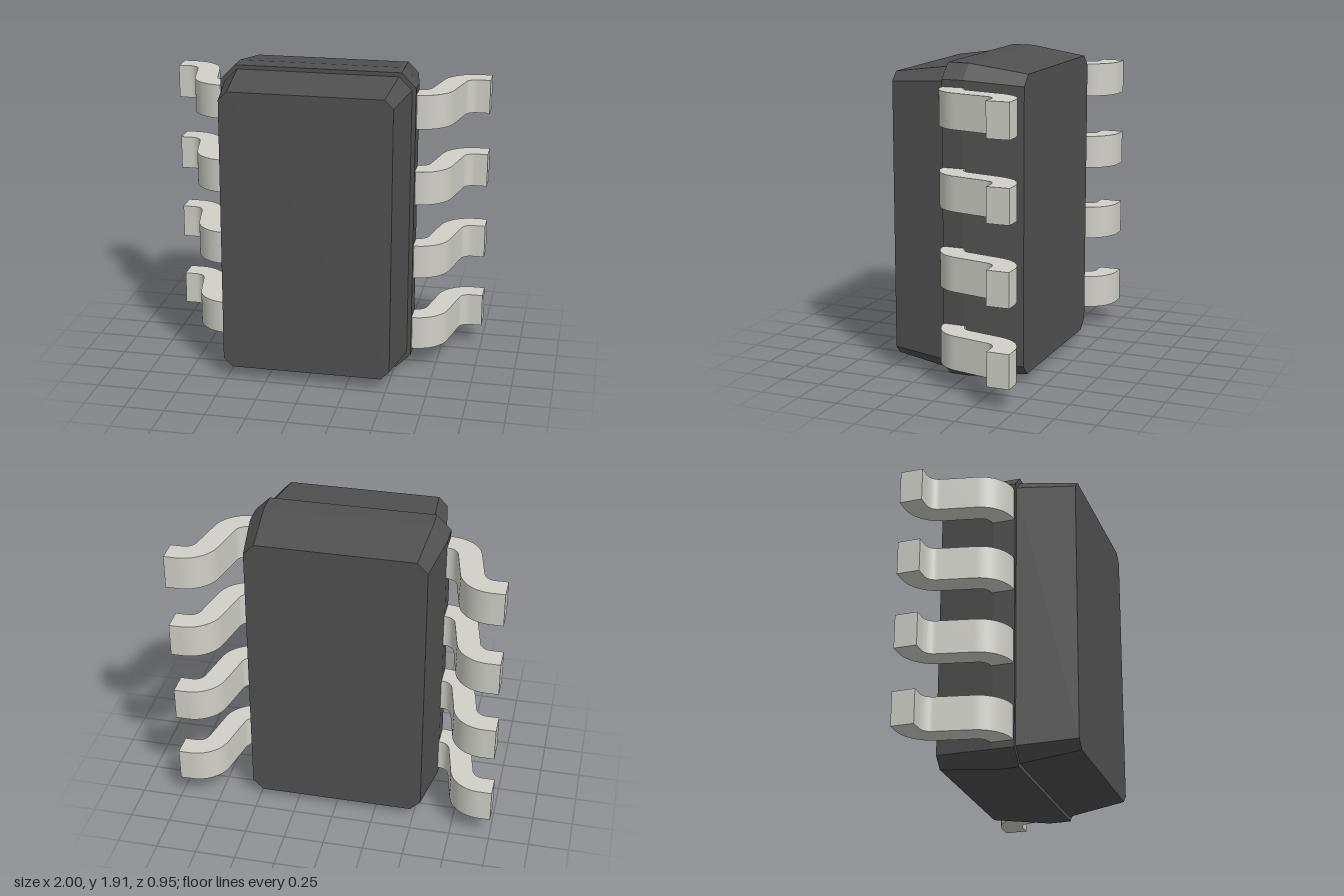
import * as THREE from 'three';
import { toCreasedNormals } from 'three/addons/utils/BufferGeometryUtils.js';

const MID_Y = 0.955;

// Chamfered rectangle, counter-clockwise seen from the front
function octagon([z, w, h, c]) {
  return [
    [w, c - h], [w, h - c], [w - c, h], [c - w, h],
    [-w, h - c], [-w, c - h], [c - w, -h], [w - c, -h],
  ].map(([x, y]) => [x, y + MID_Y, z]);
}

// Closed solid through a row of octagons, back to front
function loft(sections) {
  const positions = sections.flatMap((s) => octagon(s).flat());
  const index = [];
  const last = (sections.length - 1) * 8;
  for (let i = 0; i < last; i += 8) {
    for (let j = 0; j < 8; j++) {
      const k = (j + 1) % 8;
      index.push(i + j, i + k, i + 8 + k, i + j, i + 8 + k, i + 8 + j);
    }
  }
  for (let j = 1; j < 7; j++) {
    index.push(0, j + 1, j, last, last + j, last + j + 1);
  }
  const indexed = new THREE.BufferGeometry();
  indexed.setAttribute('position', new THREE.Float32BufferAttribute(positions, 3));
  indexed.setIndex(index);
  const geometry = indexed.toNonIndexed();
  geometry.computeVertexNormals();
  return geometry;
}

// Gull-wing lead: two opposed bends joined by a slanted straight
function leadGeometry() {
  const inner = 0.07, outer = 0.21, width = 0.21;
  const tilt = THREE.MathUtils.degToRad(11.4);
  const [ax, ay, bx, by] = [0.605, 0.1, 0.925, 0.265];
  const shape = new THREE.Shape();
  shape.moveTo(0.52, ay - outer);
  shape.absarc(ax, ay, outer, -Math.PI / 2, -tilt, false);
  shape.absarc(bx, by, inner, Math.PI - tilt, Math.PI / 2, true);
  shape.lineTo(1, by + inner);
  shape.lineTo(1, by + outer);
  shape.absarc(bx, by, outer, Math.PI / 2, Math.PI - tilt, false);
  shape.absarc(ax, ay, inner, -tilt, -Math.PI / 2, true);
  shape.lineTo(0.52, ay - inner);
  const geometry = new THREE.ExtrudeGeometry(shape, {
    depth: width, bevelEnabled: false, curveSegments: 12,
  });
  geometry.translate(0, 0, -width / 2);
  geometry.rotateX(-Math.PI / 2);
  return toCreasedNormals(geometry, 0.5);
}

export function createModel() {
  const group = new THREE.Group();
  const plastic = new THREE.MeshStandardMaterial({ color: 0x505050 });
  const metal = new THREE.MeshStandardMaterial({ color: 0xd0d0c8 });

  // Moulded body: z, half width, half height, chamfer
  const body = new THREE.Mesh(loft([
    [-0.38, 0.545, 0.905, 0.065],
    [-0.02, 0.6, 0.955, 0.09],
    [0.115, 0.6, 0.955, 0.09],
    [0.115, 0.575, 0.93, 0.08],
    [0.475, 0.52, 0.88, 0.053],
  ]), plastic);
  body.name = 'body';
  group.add(body);

  // Round orientation mark, nearly flush with the front face
  const mark = new THREE.Mesh(new THREE.CircleGeometry(0.06, 24), plastic);
  mark.name = 'orientationMark';
  mark.position.set(-0.29, 1.65, 0.476);
  group.add(mark);

  // Four leads on each side
  const lead = leadGeometry();
  for (const side of ['left', 'right']) {
    const row = new THREE.Group();
    row.name = side + 'Leads';
    for (let i = 0; i < 4; i++) {
      const mesh = new THREE.Mesh(lead, metal);
      mesh.name = side + 'Lead' + (i + 1);
      mesh.position.y = MID_Y + (i - 1.5) * 0.478;
      if (side === 'right') mesh.rotation.z = Math.PI;
      row.add(mesh);
    }
    group.add(row);
  }
  return group;
}
